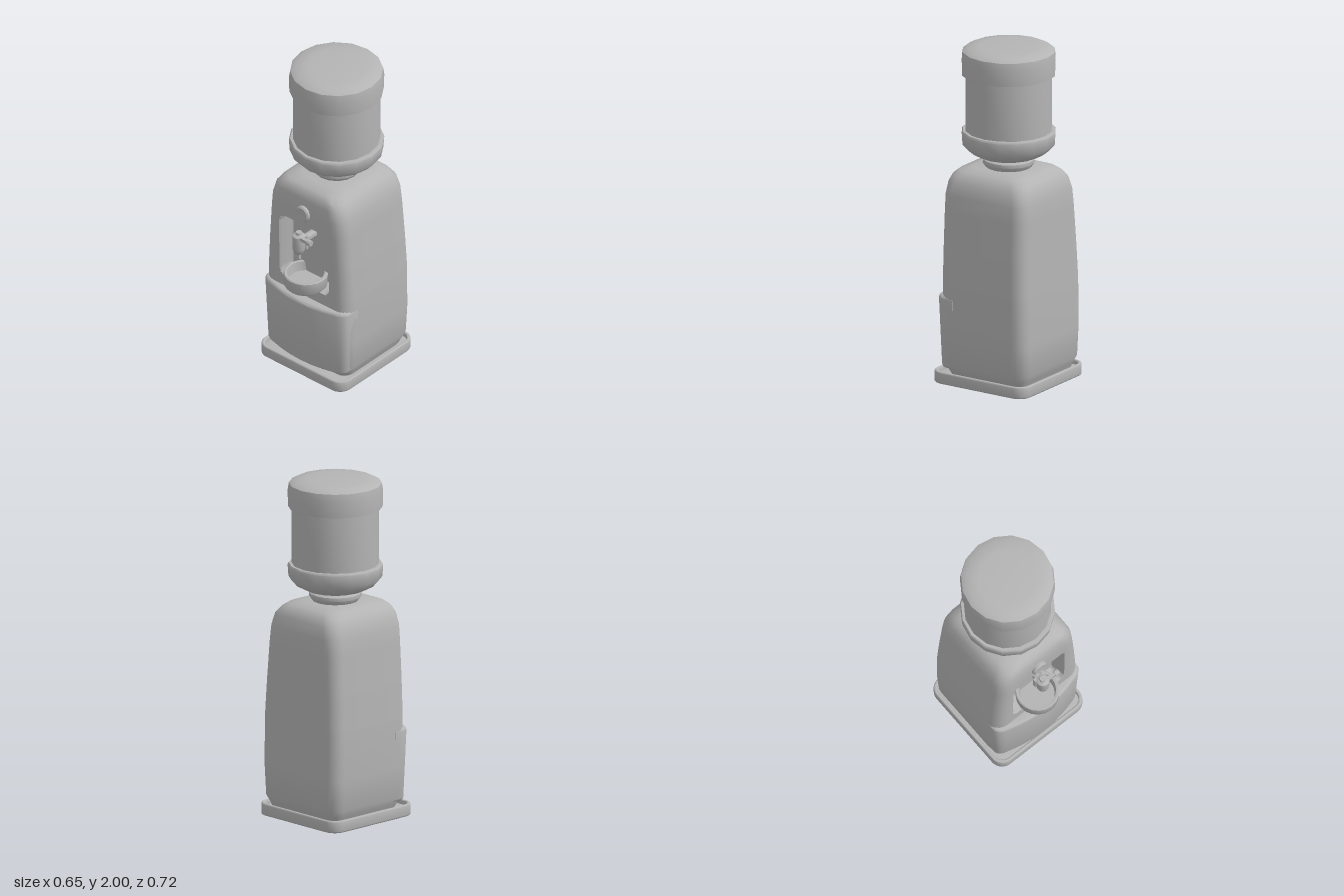
import * as THREE from 'three';
import { toCreasedNormals } from 'three/addons/utils/BufferGeometryUtils.js';

const grey = new THREE.MeshStandardMaterial({ color: 0xb4b4b4 });
grey.name = 'light grey plastic';

function add(group, name, geometry, x = 0, y = 0, z = 0, crease = 0.75) {
  const mesh = new THREE.Mesh(toCreasedNormals(geometry, crease), grey);
  mesh.name = name;
  mesh.position.set(x, y, z);
  group.add(mesh);
  return mesh;
}

const lathe = (points, sides) =>
  new THREE.LatheGeometry(points.map(([r, y]) => new THREE.Vector2(r, y)), sides);

// Rounded rectangle centred on the origin
function roundedRect(w, d, r, Type = THREE.Shape) {
  const s = new Type();
  const a = w / 2 - r, b = d / 2 - r;
  s.absarc(a, b, r, 0, Math.PI / 2);
  s.absarc(-a, b, r, Math.PI / 2, Math.PI);
  s.absarc(-a, -b, r, Math.PI, Math.PI * 1.5);
  s.absarc(a, -b, r, Math.PI * 1.5, Math.PI * 2);
  s.closePath();
  return s;
}

// Extrude a plan shape (x, -z) upwards, bevels included in the height
function extrudeUp(shape, height, bevel) {
  const g = new THREE.ExtrudeGeometry(shape, {
    depth: height - 2 * bevel, bevelSize: bevel, bevelThickness: bevel,
    bevelOffset: -bevel, bevelSegments: 3, curveSegments: 6,
  });
  return g.rotateX(-Math.PI / 2).translate(0, bevel, 0);
}

// Cabinet profile: y, half width, back z, front z, corner radius
const PROFILE = [
  [0.04, 0.27, -0.31, 0.19, 0.06], [0.08, 0.288, -0.325, 0.215, 0.07],
  [0.12, 0.305, -0.345, 0.235, 0.08], [0.3, 0.313, -0.35, 0.24, 0.08],
  [0.58, 0.314, -0.347, 0.242, 0.08], [0.8, 0.304, -0.34, 0.243, 0.08],
  [1.04, 0.288, -0.333, 0.245, 0.08], [1.13, 0.28, -0.328, 0.245, 0.08],
  [1.2, 0.262, -0.315, 0.238, 0.08], [1.24, 0.235, -0.29, 0.225, 0.08],
  [1.265, 0.205, -0.26, 0.2, 0.08], [1.28, 0.15, -0.2, 0.14, 0.08],
];

function profileAt(y) {
  let i = 0;
  while (i < PROFILE.length - 2 && y > PROFILE[i + 1][0]) i++;
  const a = PROFILE[i], b = PROFILE[i + 1];
  const t = (y - a[0]) / (b[0] - a[0]);
  return a.map((v, k) => THREE.MathUtils.lerp(v, b[k], t));
}

// Depth of the dispensing niche at a point of the front
function nicheDepth(x, y) {
  const r = 0.045;
  const dx = Math.abs(x - 0.003) - 0.185 + r, dy = Math.abs(y - 0.815) - 0.21 + r;
  const d = Math.hypot(Math.max(dx, 0), Math.max(dy, 0)) + Math.min(Math.max(dx, dy), 0) - r;
  return 0.09 * THREE.MathUtils.clamp(-d / 0.015, 0, 1);
}

function ring(y) {
  const [, hw, zb, zf, r] = profileAt(y);
  const pts = [];
  const k = Math.min(1, (hw - r) / 0.2);
  for (let i = 0; i <= 40; i++) {
    const x = (-0.2 + i * 0.01) * k;
    pts.push([x, y, zf - nicheDepth(x, y)]);
  }
  const corner = (cx, cz, start) => {
    for (let i = 0; i <= 5; i++) {
      const t = start - (i / 5) * Math.PI / 2;
      pts.push([cx + r * Math.cos(t), y, cz + r * Math.sin(t)]);
    }
  };
  corner(hw - r, zf - r, Math.PI / 2);
  corner(hw - r, zb + r, 0);
  corner(r - hw, zb + r, -Math.PI / 2);
  corner(r - hw, zf - r, -Math.PI);
  return pts;
}

function cabinetGeometry() {
  const ys = PROFILE.map((p) => p[0]).filter((y) => y < 0.58 || y > 1.03);
  for (let i = 0; i <= 45; i++) ys.push(0.585 + i * 0.01);
  ys.sort((a, b) => a - b);
  const rings = ys.map(ring), n = rings[0].length;
  const index = [];
  for (let j = 0; j < rings.length - 1; j++) {
    for (let i = 0; i < n; i++) {
      const a = j * n + i, b = j * n + (i + 1) % n;
      index.push(a, b, b + n, a, b + n, a + n);
    }
  }
  // Flat caps
  const bottom = rings.length * n, top = bottom + 1, last = bottom - n;
  for (let i = 0; i < n; i++) {
    const next = (i + 1) % n;
    index.push(bottom, next, i, top, last + i, last + next);
  }
  const g = new THREE.BufferGeometry();
  const verts = [...rings.flat(), [0, 0.04, -0.04], [0, 1.28, -0.04]];
  g.setAttribute('position', new THREE.Float32BufferAttribute(verts.flat(), 3));
  g.setIndex(index);
  return g;
}

export function createModel() {
  const model = new THREE.Group();
  model.name = 'waterDispenser';

  // Base tray: floor and raised rim
  add(model, 'baseFloor', extrudeUp(roundedRect(0.62, 0.62, 0.06), 0.045, 0.005), 0, 0, -0.035);
  const rim = roundedRect(0.65, 0.65, 0.075);
  rim.holes.push(roundedRect(0.61, 0.61, 0.06, THREE.Path));
  add(model, 'baseRim', extrudeUp(rim, 0.072, 0.009), 0, 0, -0.035);

  // Cabinet with niche
  add(model, 'cabinet', cabinetGeometry(), 0, 0, 0, 0.6);

  // Bulging lower front panel
  const plan = new THREE.Shape();
  plan.moveTo(-0.316, -0.135);
  plan.lineTo(0.316, -0.135);
  plan.lineTo(0.312, -0.215);
  plan.quadraticCurveTo(0.305, -0.25, 0.25, -0.265);
  plan.quadraticCurveTo(0, -0.345, -0.25, -0.265);
  plan.quadraticCurveTo(-0.305, -0.25, -0.312, -0.215);
  plan.closePath();
  const panel = extrudeUp(plan, 0.44, 0.02);
  // Tuck the front in towards the foot
  const p = panel.attributes.position;
  for (let i = 0; i < p.count; i++) {
    const t = Math.max(0, 1 - p.getY(i) / 0.25);
    p.setZ(i, 0.13 + (p.getZ(i) - 0.13) * (1 - 0.12 * t));
    p.setX(i, p.getX(i) * (1 - 0.05 * t));
  }
  add(model, 'lowerFrontPanel', panel, 0, 0.09, 0);

  // Button above the niche
  const button = lathe([[0.05, -0.03], [0.05, 0.012], [0.042, 0.02], [0, 0.014]], 14).rotateX(Math.PI / 2);
  add(model, 'button', button, -0.003, 1.11, 0.245);

  // Drip cup
  add(model, 'dripCup', lathe([
    [0, 0], [0.115, 0], [0.126, 0.015], [0.128, 0.085], [0.122, 0.09],
    [0.108, 0.088], [0.1, 0.03], [0, 0.03],
  ], 20), 0, 0.6, 0.23);

  // Tap: body, spout, pipe and side lever
  const tap = new THREE.Group();
  tap.name = 'tap';
  tap.position.set(-0.004, 0, 0.285);
  model.add(tap);
  add(tap, 'tapBody', lathe([
    [0, 0.815], [0.013, 0.815], [0.013, 0.845], [0.03, 0.86], [0.038, 0.89],
    [0.038, 0.975], [0.02, 0.985], [0.018, 1.0], [0, 1.0],
  ], 12));
  add(tap, 'tapPipe', new THREE.CylinderGeometry(0.025, 0.025, 0.14, 10).rotateX(Math.PI / 2), 0, 0.925, -0.075);
  add(tap, 'tapFlange', new THREE.BoxGeometry(0.08, 0.09, 0.02), 0, 0.925, -0.03);
  add(tap, 'tapLever', new THREE.BoxGeometry(0.07, 0.02, 0.022), 0.06, 0.97, 0.012);
  add(tap, 'leverKnob', new THREE.CylinderGeometry(0.018, 0.018, 0.03, 10).rotateZ(Math.PI / 2), 0.09, 0.97, 0.012);

  // Upturned bottle: neck, shoulder ring, barrel and cap ring
  add(model, 'bottle', lathe([
    [0, 1.275], [0.13, 1.275], [0.152, 1.305], [0.15, 1.325], [0.13, 1.335],
    [0.18, 1.35], [0.235, 1.38], [0.27, 1.42], [0.275, 1.49], [0.268, 1.5], [0.252, 1.5],
    [0.252, 1.835], [0.272, 1.835], [0.275, 1.93], [0.268, 1.975], [0.235, 1.993], [0.17, 2], [0, 2],
  ], 16), 0, 0, -0.04);

  return model;
}
